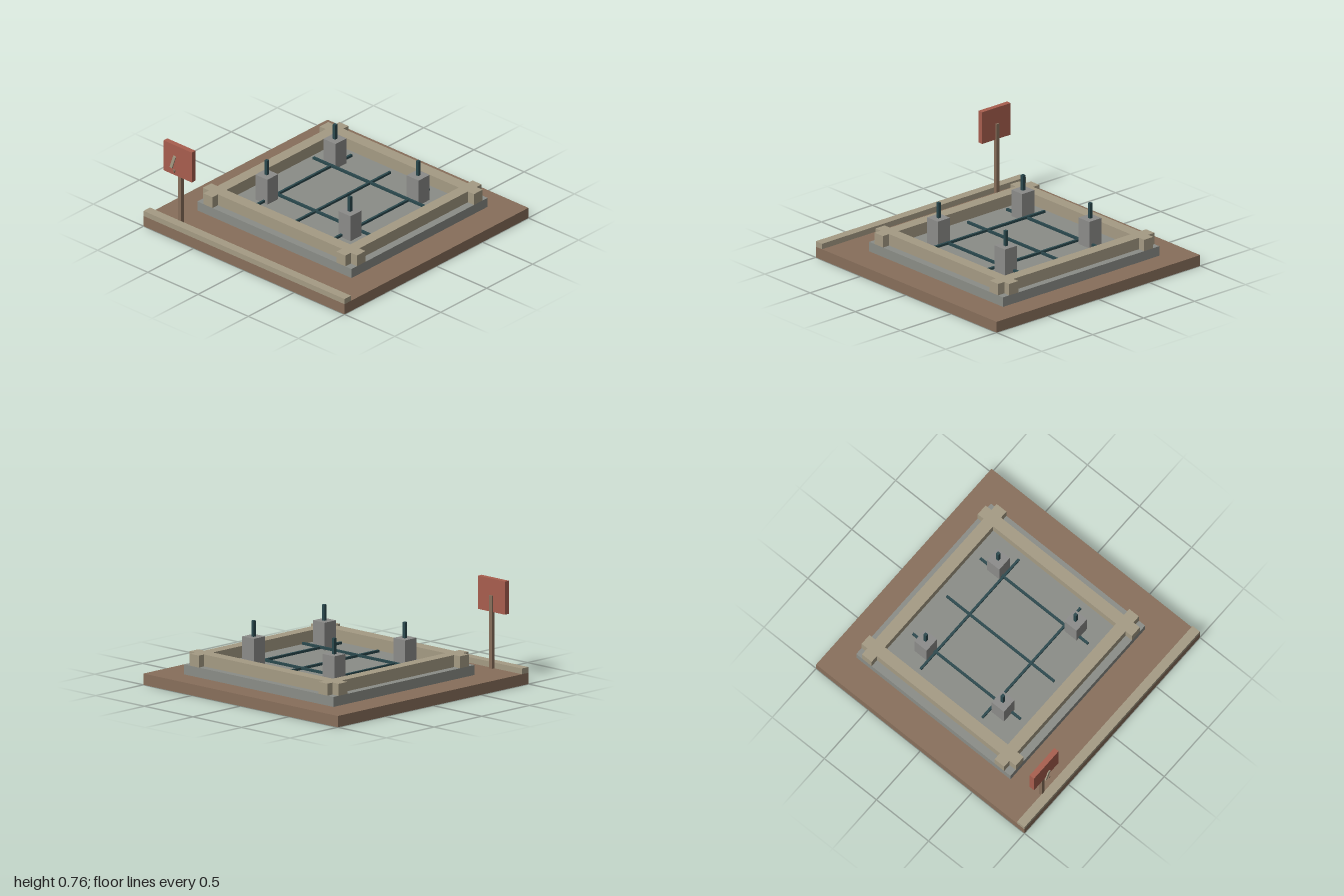
import * as THREE from 'three';

const mat = (name, color) => new THREE.MeshStandardMaterial({ name, color });

export function createModel() {
  const model = new THREE.Group();
  model.name = 'foundationSite';
  const earth = mat('earth brown', 0x886f5b);
  const timber = mat('pale timber', 0xa59b84);
  const concrete = mat('slab grey', 0x8b8d87);
  const footing = mat('footing grey', 0x8c8c8a);
  const steel = mat('dark steel', 0x2a484d);
  const red = mat('sign red', 0xa85e4e);

  // Box given by its lower and upper limits on each axis
  const block = (name, material, [x0, x1], [y0, y1], [z0, z1]) => {
    const mesh = new THREE.Mesh(new THREE.BoxGeometry(x1 - x0, y1 - y0, z1 - z0), material);
    mesh.position.set((x0 + x1) / 2, (y0 + y1) / 2, (z0 + z1) / 2);
    mesh.name = name;
    model.add(mesh);
    return mesh;
  };

  // Ground, curb and slab
  block('ground', earth, [-1, 1], [0, 0.085], [-1, 1]);
  block('curb', timber, [-1, 1], [0.085, 0.128], [0.93, 1]);
  block('slab', concrete, [-0.768, 0.768], [0.085, 0.16], [-0.81, 0.67]);

  // Crossed formwork beams; the lengthwise pair is cut where it meets the side pair
  const beamY = [0.16, 0.25];
  for (const side of [-1, 1]) {
    const x = side * 0.662;
    block('sideBeam', timber, [x - 0.045, x + 0.045], beamY, [-0.81, 0.67]);
  }
  for (const z of [[-0.755, -0.662], [0.518, 0.61]]) {
    block('crossBeam', timber, [-0.617, 0.617], beamY, z);
    block('beamEnd', timber, [-0.768, -0.707], beamY, z);
    block('beamEnd', timber, [0.707, 0.768], beamY, z);
  }

  // Reinforcement grid
  for (const x of [-0.385, 0, 0.385])
    block('longBar', steel, [x - 0.009, x + 0.009], [0.171, 0.189], [-0.59, 0.445]);
  for (const z of [-0.367, 0.224])
    block('crossBar', steel, [-0.56, 0.56], [0.175, 0.193], [z - 0.009, z + 0.009]);

  // Column footings with starter bars
  for (const x of [-0.414, 0.414])
    for (const z of [-0.442, 0.3]) {
      block('footing', footing, [x - 0.06, x + 0.06], [0.16, 0.368], [z - 0.058, z + 0.06]);
      block('starterBar', steel, [x - 0.012, x + 0.012], [0.368, 0.488], [z - 0.012, z + 0.012]);
    }

  // Warning sign
  block('signPost', earth, [-0.718, -0.689], [0.085, 0.635], [0.902, 0.932]);
  block('signBoard', red, [-0.84, -0.56], [0.51, 0.76], [0.916, 0.957]);

  // Slanted mark and its small point, standing in front of the board
  const stroke = block('signStroke', timber, [-0.732, -0.708], [0.58, 0.692], [0.983, 0.992]);
  stroke.rotation.z = -0.33;
  const tip = new THREE.Shape([[-0.718, 0.575], [-0.706, 0.55], [-0.695, 0.575]]
    .map(([x, y]) => new THREE.Vector2(x, y)));
  const point = new THREE.Mesh(
    new THREE.ExtrudeGeometry(tip, { depth: 0.009, bevelEnabled: false }), earth);
  point.name = 'signPoint';
  point.position.z = 0.983;
  model.add(point);

  return model;
}
